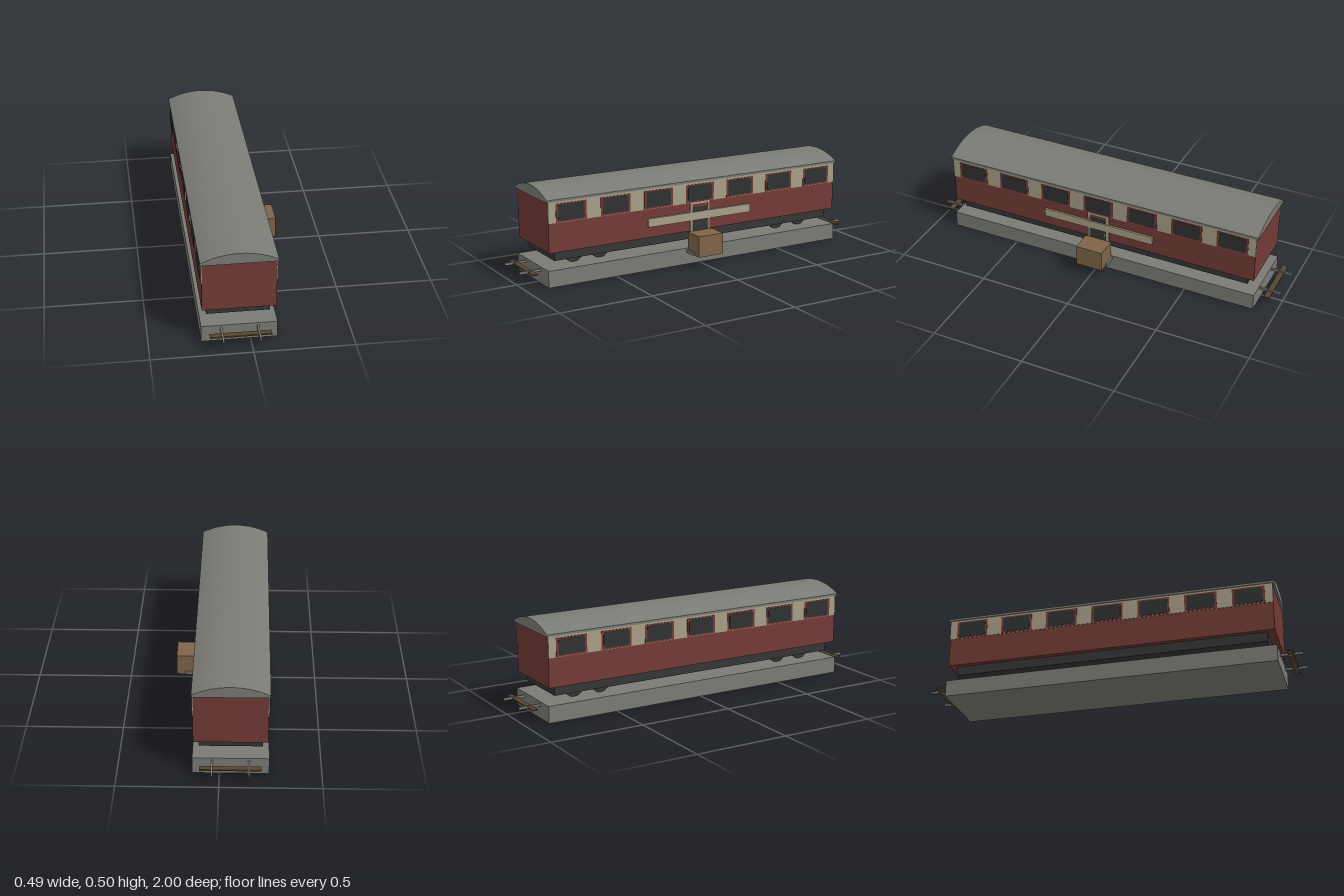
import * as THREE from 'three';

const CX = -0.055; // centre line of the coach

export function createModel() {
  const model = new THREE.Group();
  model.name = 'railwayCarriage';

  const mat = (name, color) => {
    const m = new THREE.MeshStandardMaterial({ color });
    m.name = name;
    return m;
  };
  const grey = mat('grey', 0x7b7b76);
  const red = mat('maroon', 0x723a35);
  const cream = mat('cream', 0xa89f88);
  const dark = mat('charcoal', 0x353535);
  const glass = mat('glass', 0x303131);
  const timber = mat('timber', 0x7e6448);
  const sleeperWood = mat('sleeperWood', 0x574530);

  const add = (name, geometry, material, parent = model) => {
    const mesh = new THREE.Mesh(geometry, material);
    mesh.name = name;
    parent.add(mesh);
    return mesh;
  };
  // Box given by its limits on each axis
  const box = (name, material, [x0, x1], [y0, y1], [z0, z1], parent) => {
    const mesh = add(name, new THREE.BoxGeometry(x1 - x0, y1 - y0, z1 - z0), material, parent);
    mesh.position.set((x0 + x1) / 2, (y0 + y1) / 2, (z0 + z1) / 2);
    return mesh;
  };

  // Track bed, rails and end sleepers
  box('trackBed', grey, [-0.243, 0.132], [0, 0.088], [-0.883, 0.883]);
  for (const x of [-0.145, 0.035]) {
    box('rail', grey, [x - 0.005, x + 0.005], [0.064, 0.077], [-1, 1]);
  }
  for (const z of [-0.94, 0.94]) {
    box('sleeper', sleeperWood, [-0.205, 0.095], [0.064, 0.071], [z - 0.015, z + 0.015]);
  }

  // Underframe and wheels
  box('underframe', dark, [-0.212, 0.101], [0.127, 0.177], [-0.835, 0.835]);
  for (const z of [-0.7, -0.55, 0.55, 0.7]) {
    for (const x of [-0.15, 0.038]) {
      const wheel = add('wheel', new THREE.CylinderGeometry(0.055, 0.055, 0.014, 16), dark);
      wheel.rotation.z = Math.PI / 2;
      wheel.position.set(x, 0.143, z);
    }
  }

  // Body
  box('body', red, [-0.237, 0.127], [0.177, 0.44], [-0.875, 0.875]);

  // Window shape with clipped corners
  const clipped = (w, h, c) => new THREE.Shape([
    [-w + c, -h], [w - c, -h], [w, -h + c], [w, h - c],
    [w - c, h], [-w + c, h], [-w, h - c], [-w, -h + c],
  ].map(([x, y]) => new THREE.Vector2(x, y)));
  const glassGeo = new THREE.ExtrudeGeometry(clipped(0.073, 0.041, 0.008),
    { depth: 0.0045, bevelEnabled: false });

  // Cream upper panels with seven windows on each side
  for (const side of [1, -1]) {
    const group = new THREE.Group();
    group.name = side > 0 ? 'leftWindows' : 'rightWindows';
    group.position.x = CX;
    group.rotation.y = side * Math.PI / 2; // local z points outwards
    model.add(group);
    box('upperPanel', cream, [-0.876, 0.876], [0.33, 0.44], [0.18, 0.185], group);
    for (let i = -3; i <= 3; i++) {
      const u = i * 0.25;
      box('windowFrame', red, [u - 0.085, u + 0.085], [0.332, 0.428], [0.184, 0.187], group);
      add('windowPane', glassGeo, glass, group).position.set(u, 0.38, 0.184);
    }
  }

  // Arched roof with a short vertical eave
  const half = 0.189, eave = 0.45, rise = 0.045;
  const radius = (half * half + rise * rise) / (2 * rise);
  const angle = Math.asin(half / radius);
  const profile = new THREE.Shape();
  profile.moveTo(-half, 0.438);
  profile.lineTo(half, 0.438);
  profile.lineTo(half, eave);
  profile.absarc(0, eave + rise - radius, radius, Math.PI / 2 - angle, Math.PI / 2 + angle, false);
  profile.closePath();
  const roof = add('roof', new THREE.ExtrudeGeometry(profile,
    { depth: 1.77, bevelEnabled: false, curveSegments: 24 }), grey);
  roof.position.set(CX - 0.001, 0, -0.885);

  // Side door with its frame and handle
  box('door', dark, [0.124, 0.13], [0.088, 0.305], [-0.045, 0.045]);
  box('doorHead', red, [0.124, 0.13], [0.305, 0.323], [-0.048, 0.048]);
  for (const z of [-0.054, 0.054]) {
    box('doorPost', cream, [0.126, 0.134], [0.088, 0.333], [z - 0.006, z + 0.006]);
  }
  box('doorLintel', cream, [0.126, 0.134], [0.322, 0.333], [-0.06, 0.06]);
  box('doorHandle', cream, [0.129, 0.137], [0.199, 0.216], [-0.041, -0.033]);

  // Blank board across the side
  box('sideBoard', cream, [0.127, 0.137], [0.235, 0.28], [-0.313, 0.313]);

  // Entrance step and the crate on it
  box('step', grey, [0.13, 0.2], [0.064, 0.081], [-0.083, 0.083]);
  box('crate', timber, [0.132, 0.245], [0.063, 0.176], [-0.074, 0.074]);

  return model;
}
